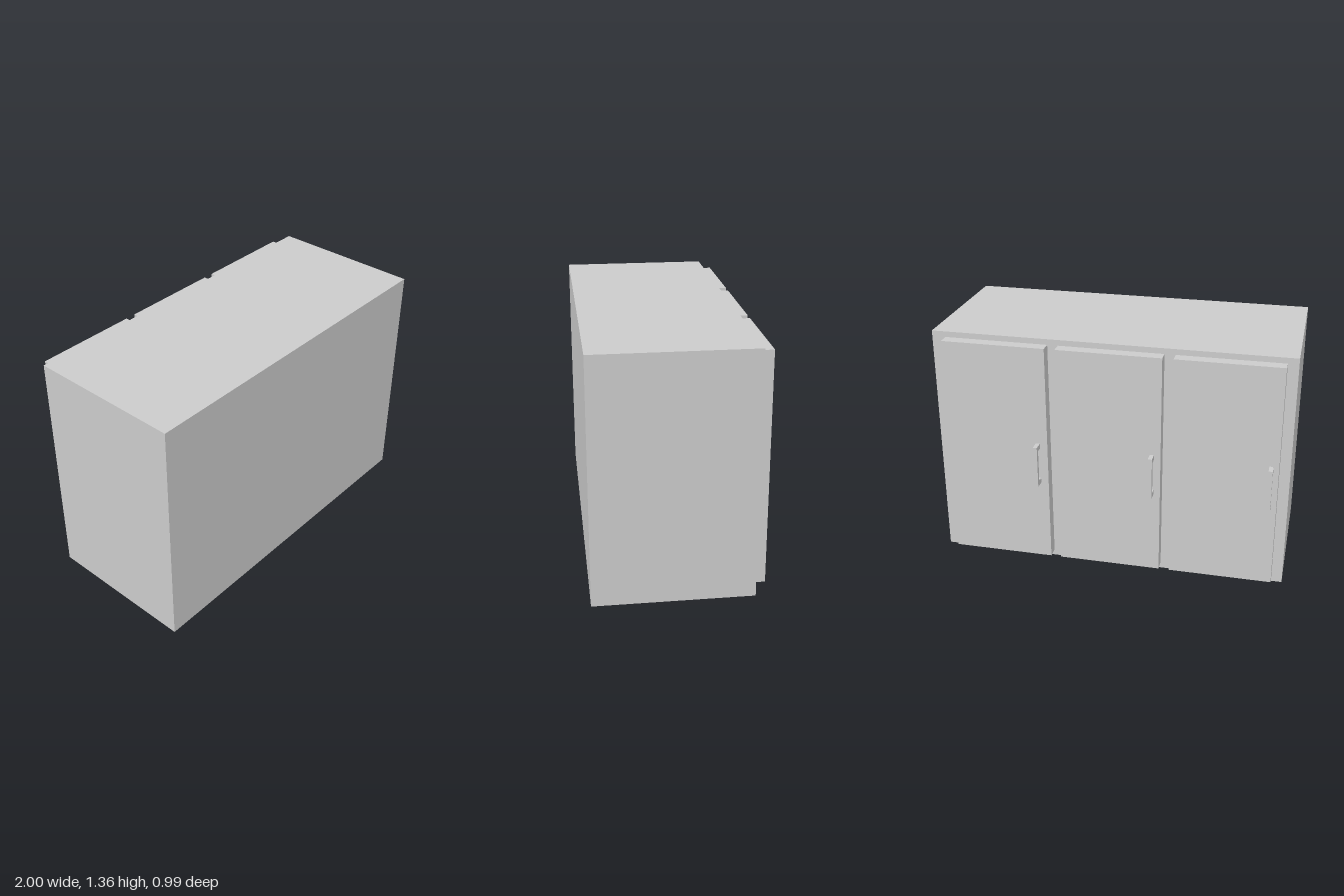
import * as THREE from 'three';

const material = new THREE.MeshStandardMaterial({ color: 0xcccccc, flatShading: true });

// Box given by its extents on each axis
function box(name, [x0, x1], [y0, y1], [z0, z1]) {
  const mesh = new THREE.Mesh(new THREE.BoxGeometry(x1 - x0, y1 - y0, z1 - z0), material);
  mesh.position.set((x0 + x1) / 2, (y0 + y1) / 2, (z0 + z1) / 2);
  mesh.name = name;
  return mesh;
}

// C-shaped pull: side outline in (z, y), extruded across x
function handle(x, width) {
  const outline = [
    [-0.437, 0.517], [-0.495, 0.517], [-0.495, 0.761], [-0.437, 0.761],
    [-0.437, 0.732], [-0.473, 0.732], [-0.473, 0.546], [-0.437, 0.546],
  ];
  const shape = new THREE.Shape(outline.map(([z, y]) => new THREE.Vector2(-z, y)));
  const geometry = new THREE.ExtrudeGeometry(shape, { depth: width, bevelEnabled: false });
  geometry.rotateY(Math.PI / 2); // outline x becomes -z, depth becomes +x
  geometry.translate(x - width / 2, 0, 0);
  const mesh = new THREE.Mesh(geometry, material);
  mesh.name = 'handle';
  return mesh;
}

export function createModel() {
  const model = new THREE.Group();
  model.name = 'cabinet';

  // Solid carcass
  model.add(box('carcass', [-1, 1], [0, 1.358], [-0.371, 0.495]));

  // Three overlay doors, each with a pull near its right edge
  for (let i = 0; i < 3; i++) {
    const x = -0.941 + i * 0.641;
    const door = new THREE.Group();
    door.name = `door${i + 1}`;
    door.add(box('doorPanel', [x, x + 0.582], [0.034, 1.326], [-0.437, -0.371]));
    door.add(handle(-0.9 + i * 0.648, 0.023));
    model.add(door);
  }
  return model;
}
